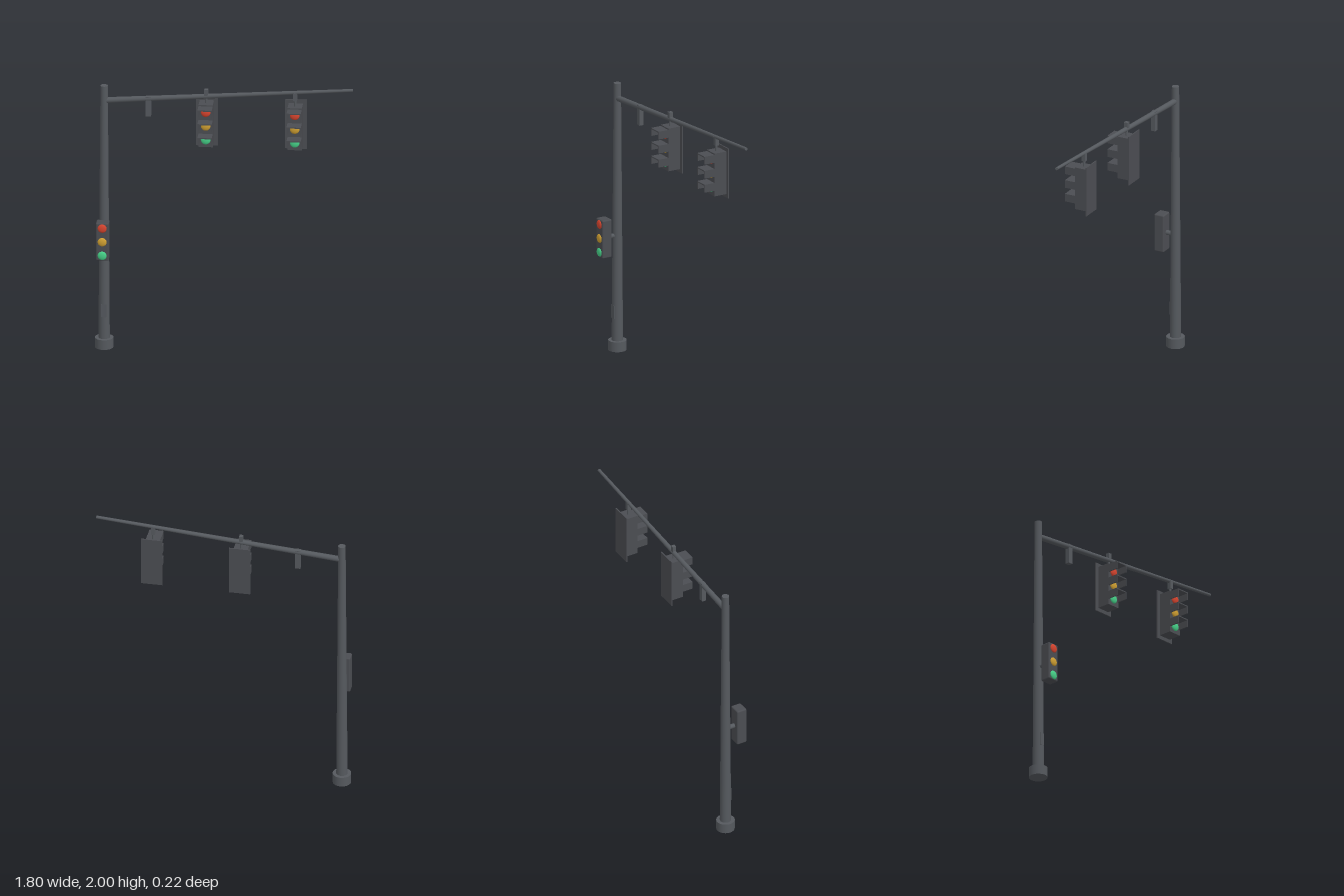
import * as THREE from 'three';
import { RoundedBoxGeometry } from 'three/addons/geometries/RoundedBoxGeometry.js';

const mat = (name, color) => {
  const m = new THREE.MeshStandardMaterial({ color });
  m.name = name;
  return m;
};

export function createModel() {
  const root = new THREE.Group();
  root.name = 'trafficLight';
  const steel = mat('poleGrey', 0x55595e);
  const housing = mat('housingGrey', 0x4b4d52);
  const lampMats = [mat('red', 0xd8452f), mat('amber', 0xd0a032), mat('green', 0x46d088)];
  const lampNames = ['redLamp', 'amberLamp', 'greenLamp'];

  const add = (parent, name, geo, material, x, y, z) => {
    const mesh = new THREE.Mesh(geo, material);
    mesh.name = name;
    mesh.position.set(x, y, z);
    parent.add(mesh);
    return mesh;
  };
  const box = (w, h, d) => new THREE.BoxGeometry(w, h, d);
  const PX = -0.838, PZ = -0.045;

  // Pole with its footing and access cover
  add(root, 'base', new THREE.CylinderGeometry(0.065, 0.065, 0.072, 24), steel, PX, 0.036, PZ);
  add(root, 'pole', new THREE.CylinderGeometry(0.026, 0.04, 1.9, 20), steel, PX, 1.01, PZ);
  add(root, 'accessCover', box(0.036, 0.095, 0.012), steel, PX, 0.283, PZ + 0.033);

  // Sloping, tapering mast arm
  const start = new THREE.Vector3(PX, 1.849, PZ);
  const end = new THREE.Vector3(0.9, 1.989, PZ);
  const dir = end.clone().sub(start);
  const arm = add(root, 'mastArm', new THREE.CylinderGeometry(0.011, 0.021, dir.length(), 16), steel, 0, 0, 0);
  arm.position.copy(start).lerp(end, 0.5);
  arm.quaternion.setFromUnitVectors(new THREE.Vector3(0, 1, 0), dir.normalize());

  // Small sensor hanging from the arm
  add(root, 'sensor', box(0.036, 0.145, 0.032), steel, -0.528, 1.817, PZ);

  // Shallow domed lamps, red at the top
  const addLamps = (parent, radius, depth, pitch, z) => {
    lampMats.forEach((m, i) => {
      const dome = new THREE.SphereGeometry(radius, 24, 8, 0, Math.PI * 2, 0, Math.PI / 2);
      dome.rotateX(Math.PI / 2).scale(1, 1, depth / radius);
      add(parent, lampNames[i], dome, m, 0, (1 - i) * pitch, z);
    });
  };

  // Overhead signals with backplate, hoods and hanger
  for (const x of [-0.125, 0.497]) {
    const s = new THREE.Group();
    s.name = 'overheadSignal';
    s.position.set(x, 1.7, 0);
    add(s, 'backplate', box(0.15, 0.366, 0.008), housing, 0, 0, -0.1);
    add(s, 'signalBody', box(0.1, 0.314, 0.097), housing, 0, 0, -0.0485);
    addLamps(s, 0.034, 0.014, 0.103, 0);
    for (let i = -1; i <= 1; i++) {
      const y = i * 0.103;
      add(s, 'hoodTop', box(0.1, 0.008, 0.08), housing, 0, y + 0.041, 0.04);
      for (const side of [-1, 1]) {
        add(s, 'hoodSide', box(0.008, 0.05, 0.08), housing, side * 0.046, y + 0.013, 0.04);
      }
    }
    add(s, 'hangerClamp', box(0.026, 0.06, 0.028), steel, 0, 0.228, PZ);
    add(s, 'hangerRod', new THREE.CylinderGeometry(0.009, 0.009, 0.07, 12), steel, 0, 0.185, PZ);
    root.add(s);
  }

  // Lower signal on the front of the pole
  const low = new THREE.Group();
  low.name = 'poleSignal';
  low.position.set(PX, 0.842, 0);
  add(low, 'poleSignalBody', new RoundedBoxGeometry(0.091, 0.28, 0.077, 2, 0.01), housing, 0, 0, 0.063);
  addLamps(low, 0.032, 0.012, 0.102, 0.1);
  const bracket = new THREE.CylinderGeometry(0.017, 0.017, 0.07, 12).rotateX(Math.PI / 2);
  add(low, 'bracket', bracket, steel, 0, 0, 0);
  root.add(low);

  return root;
}
